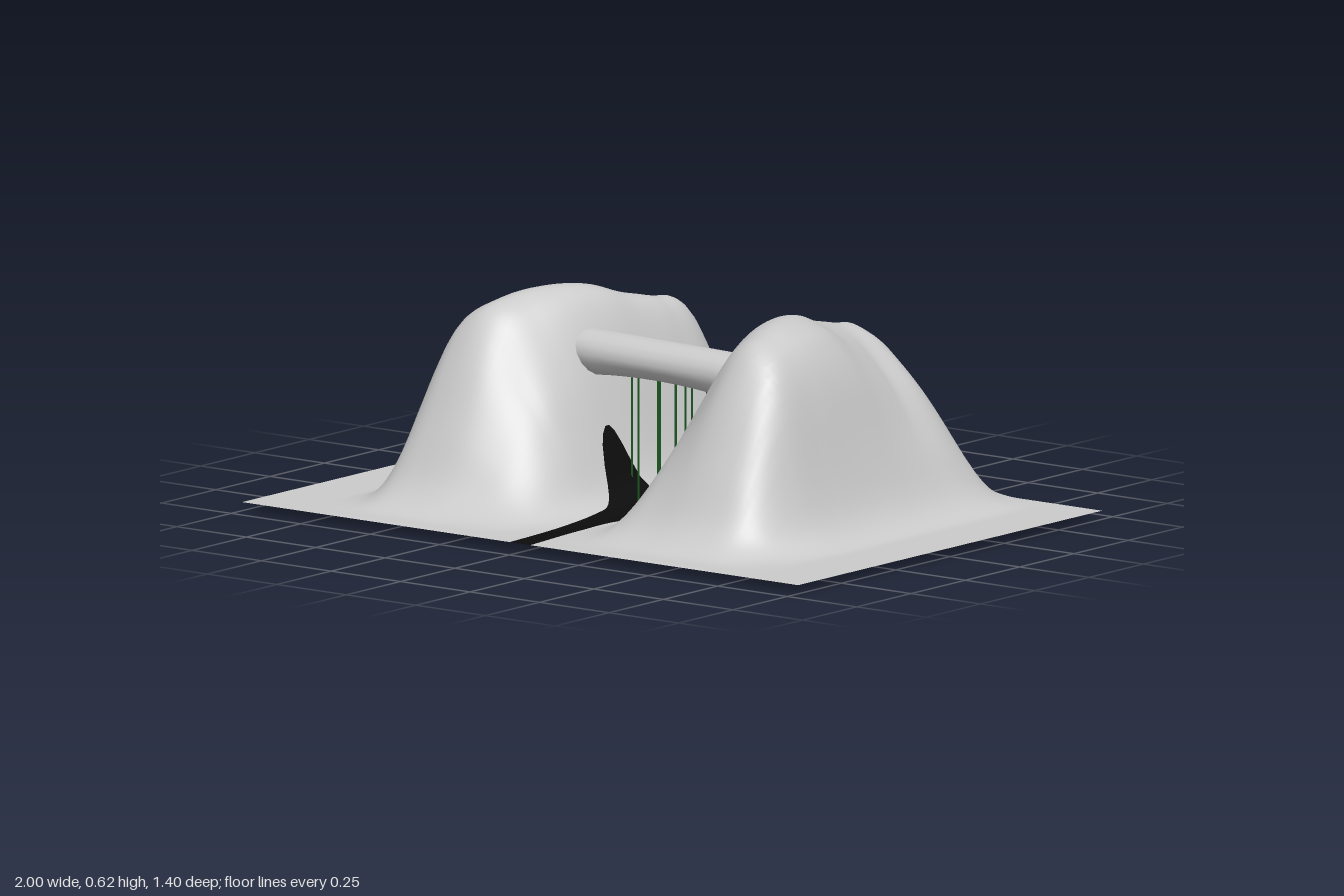
import * as THREE from 'three';
import { toCreasedNormals } from 'three/addons/utils/BufferGeometryUtils.js';

// Smooth function through a few [position, value] points, clamped at the ends
function profile(points) {
  const xs = points.map(p => p[0]);
  const curve = new THREE.CubicInterpolant(xs, points.map(p => p[1]), 1, new Float32Array(1));
  return t => curve.evaluate(THREE.MathUtils.clamp(t, xs[0], xs[xs.length - 1]))[0];
}

const BASE = 0.025;

// Hill cross-section from the stream outward, and along its length
const across = profile([[0.03, 0], [0.07, 0.025], [0.13, 0.125], [0.18, 0.35], [0.22, 0.575], [0.27, 0.81],
  [0.31, 0.93], [0.38, 0.995], [0.46, 0.97], [0.53, 0.9], [0.6, 0.715], [0.66, 0.4], [0.71, 0.16],
  [0.78, 0.02], [0.87, 0], [1, 0]]);
const along = profile([[-0.7, 0], [-0.61, 0.19], [-0.5, 0.66], [-0.43, 0.83], [-0.33, 0.875], [-0.2, 0.925],
  [-0.09, 0.985], [0.02, 1], [0.15, 0.975], [0.26, 0.9], [0.33, 0.73], [0.43, 0.39], [0.5, 0.16],
  [0.58, 0.03], [0.7, 0]]);

// Mirrored hills whose ridges spread apart toward the front
function height(x, z) {
  const u = Math.abs(x);
  const shift = THREE.MathUtils.clamp(0.32 * (z + 0.03), -0.09, 0.1);
  const t = THREE.MathUtils.clamp((u - 0.12) / 0.6, 0, 1);
  const v = u - shift * Math.sin(Math.PI * t) ** 2;
  return BASE + 0.595 * Math.max(0, across(v) * along(z));
}

// Stream bed: centre line and half width along z
const bedCentre = profile([[-0.7, 0], [-0.45, 0.005], [-0.2, 0.032], [0, 0.02], [0.12, 0], [0.24, -0.024],
  [0.45, -0.018], [0.7, 0]]);
const bedHalf = profile([[-0.7, 0.037], [-0.4, 0.032], [-0.2, 0.034], [-0.11, 0.045], [-0.05, 0.1],
  [0, 0.17], [0.05, 0.2], [0.1, 0.175], [0.14, 0.115], [0.2, 0.06], [0.26, 0.042], [0.45, 0.034], [0.7, 0.037]]);
const bedLeft = z => bedCentre(z) + bedHalf(z);
const bedRight = z => bedCentre(z) - bedHalf(z);

// Ground patch between two boundary lines x = from(z) and x = to(z)
function groundPatch(name, from, to, segments, material) {
  const geo = new THREE.PlaneGeometry(1, 1.4, segments, 84).rotateX(-Math.PI / 2);
  const p = geo.attributes.position;
  for (let i = 0; i < p.count; i++) {
    const z = p.getZ(i);
    const x = THREE.MathUtils.lerp(from(z), to(z), p.getX(i) + 0.5);
    p.setXYZ(i, x, height(x, z), z);
  }
  geo.computeVertexNormals();
  const mesh = new THREE.Mesh(geo, material);
  mesh.name = name;
  return mesh;
}

// Slightly bent log lying across the gap
function logBridge(material) {
  let geo = new THREE.CylinderGeometry(1, 1, 0.56, 16, 8).rotateZ(Math.PI / 2);
  const p = geo.attributes.position;
  for (let i = 0; i < p.count; i++) {
    const x = p.getX(i), y = p.getY(i), z = p.getZ(i);
    const end = (x / 0.28) ** 2;
    const drop = y < 0 ? 0.056 + 0.018 * end : 0.06;
    p.setXYZ(i, x * (1 + 0.07 * z) + 0.008, 0.45 + y * drop, 0.043 + 0.085 * x + 0.074 * z);
  }
  geo = toCreasedNormals(geo, 0.9);
  const mesh = new THREE.Mesh(geo, material);
  mesh.name = 'logBridge';
  return mesh;
}

export function createModel() {
  const group = new THREE.Group();
  const grey = new THREE.MeshStandardMaterial({ color: 0xcccccc });
  const ground = new THREE.MeshStandardMaterial({ color: 0xcccccc, side: THREE.DoubleSide });
  const dark = new THREE.MeshStandardMaterial({ color: 0x0c0c0c, side: THREE.DoubleSide });
  const green = new THREE.MeshStandardMaterial({ color: 0x1c5a22 });

  group.add(
    groundPatch('rightHill', () => -1, bedRight, 48, ground),
    groundPatch('streamBed', bedRight, bedLeft, 20, dark),
    groundPatch('leftHill', bedLeft, () => 1, 48, ground),
    logBridge(grey),
  );

  // Thin vines hanging from the log
  const vines = new THREE.Group();
  vines.name = 'hangingVines';
  const vineGeo = new THREE.BoxGeometry(0.004, 0.42, 0.004);
  [-0.13, -0.07, -0.03, 0, 0.025, 0.065, 0.085, 0.1, 0.14, 0.18].forEach((x, i) => {
    const vine = new THREE.Mesh(vineGeo, green);
    vine.name = 'vine';
    vine.position.set(x, 0.21, i % 2 ? 0.065 : 0.017);
    vines.add(vine);
  });
  group.add(vines);
  return group;
}
